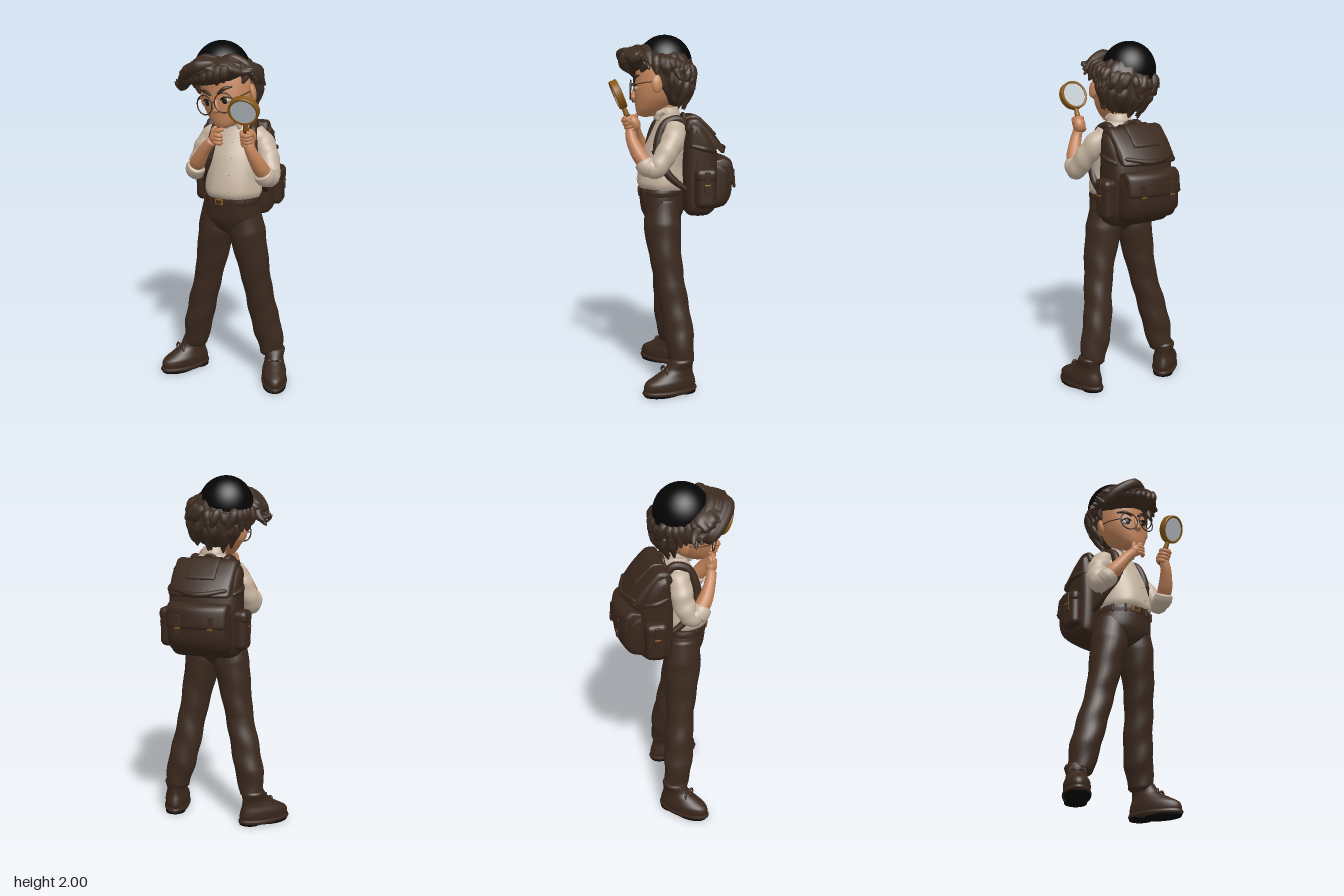
import * as THREE from 'three';
import { mergeVertices, toCreasedNormals } from 'three/addons/utils/BufferGeometryUtils.js';
import { RoundedBoxGeometry } from 'three/addons/geometries/RoundedBoxGeometry.js';

const paint = (name, color, side = THREE.FrontSide) => Object.assign(new THREE.MeshStandardMaterial({ color, side }), { name });
const M = {
  skin: paint('skin', 0xc08259), hair: paint('hair', 0x3c2b20), cloth: paint('trouserBrown', 0x3b291e),
  leather: paint('leather', 0x39271c), shirt: paint('shirt', 0xc4b29f), hat: paint('hatBlack', 0x040404),
  brass: paint('brass', 0x875818, THREE.DoubleSide), lens: paint('lens', 0xc2cad0),
  white: paint('eyeWhite', 0xb8a898), dark: paint('darkBrown', 0x20150f),
};
const V = (p) => new THREE.Vector3(...p);

function add(parent, name, geo, mat, pos = [0, 0, 0], rot = [0, 0, 0], scale = [1, 1, 1]) {
  const m = new THREE.Mesh(geo, mat);
  m.name = name;
  m.position.set(...pos); m.rotation.set(...rot); m.scale.set(...scale);
  parent.add(m);
  return m;
}
function group(parent, name, pos, rot = [0, 0, 0], order = 'XYZ') {
  const g = new THREE.Group();
  g.name = name;
  g.position.set(...pos); g.rotation.set(...rot, order);
  parent.add(g);
  return g;
}
function smooth(geo) {
  geo.deleteAttribute('uv'); geo.deleteAttribute('normal');
  const g = mergeVertices(geo, 1e-5);
  g.computeVertexNormals();
  return g;
}
// Upright skin through oval rings [x, y, z, radiusX, radiusZ]
function loft(rings, fold = () => 1, seg = 40, steps = 36) {
  const mid = new THREE.CatmullRomCurve3(rings.map((r) => V(r)), false, 'catmullrom', 0.4);
  const rad = new THREE.CatmullRomCurve3(rings.map((r) => new THREE.Vector3(r[3], 0, r[4])), false, 'catmullrom', 0.4);
  const pos = [], idx = [];
  for (let j = 0; j <= steps; j++) {
    const c = mid.getPoint(j / steps), r = rad.getPoint(j / steps);
    for (let i = 0; i < seg; i++) {
      const a = (i / seg) * Math.PI * 2, f = fold(a, j / steps);
      pos.push(c.x + Math.cos(a) * r.x * f, c.y, c.z + Math.sin(a) * r.z * f);
    }
  }
  const low = pos.length / 3, first = rings[0], last = rings[rings.length - 1];
  pos.push(...first.slice(0, 3), ...last.slice(0, 3));
  for (let i = 0; i < seg; i++) {
    const n = (i + 1) % seg, top = steps * seg;
    for (let j = 0; j < steps; j++) {
      const a = j * seg + i, c = j * seg + n;
      idx.push(a, a + seg, c, a + seg, c + seg, c);
    }
    idx.push(low, i, n, low + 1, top + n, top + i);
  }
  const g = new THREE.BufferGeometry();
  g.setAttribute('position', new THREE.Float32BufferAttribute(pos, 3));
  g.setIndex(idx);
  g.computeVertexNormals();
  return g;
}
// Round-ended tube through points [x, y, z, radius]
function limb(pts, { end = 0.1, fold = () => 1, steps = 32, seg = 16 } = {}) {
  const curve = new THREE.CatmullRomCurve3(pts.map((p) => V(p)));
  const g = new THREE.TubeGeometry(curve, steps, 1, seg), p = g.attributes.position, v = new THREE.Vector3();
  for (let i = 0; i <= steps; i++) {
    const u = i / steps, c = curve.getPointAt(u), f = u * (pts.length - 1), k = Math.min(Math.floor(f), pts.length - 2);
    const e = Math.max(0, (Math.abs(2 * u - 1) - 1 + end) / end);
    const r = THREE.MathUtils.lerp(pts[k][3], pts[k + 1][3], f - k) * Math.sqrt(Math.max(0.0004, 1 - e * e));
    for (let j = 0; j <= seg; j++) {
      const n = i * (seg + 1) + j;
      v.fromBufferAttribute(p, n).sub(c).multiplyScalar(r * fold((j % seg) / seg * Math.PI * 2, u)).add(c);
      p.setXYZ(n, v.x, v.y, v.z);
    }
  }
  return smooth(g);
}
// Side profile [depth, y] pulled across the width, with soft edges and a bowed back
function slab(profile, width, bevel) {
  const curve = new THREE.CatmullRomCurve3(profile.map(([d, y]) => new THREE.Vector3(d, y, 0)), true, 'catmullrom', 0.35);
  const g = new THREE.ExtrudeGeometry(new THREE.Shape(curve.getPoints(48).slice(0, -1)), {
    depth: width - 2 * bevel, steps: 10, bevelSize: bevel, bevelThickness: bevel, bevelOffset: -bevel, bevelSegments: 5,
  });
  g.translate(0, 0, bevel - width / 2).rotateY(Math.PI / 2);
  const p = g.attributes.position;
  for (let i = 0; i < p.count; i++) p.setZ(i, p.getZ(i) * (1 - 3.2 * p.getX(i) ** 2));
  return toCreasedNormals(g, 0.9);
}
// Ball with tousled ridges
function tousled(rx, ry, rz, amount) {
  const g = new THREE.SphereGeometry(1, 64, 40), p = g.attributes.position;
  for (let i = 0; i < p.count; i++) {
    const x = p.getX(i), y = p.getY(i), z = p.getZ(i), a = Math.atan2(z, x), flat = Math.hypot(x, z);
    const s = 1 + amount * flat * (Math.sin(9 * a + 5 * y) + 0.6 * Math.sin(17 * a - 9 * y));
    p.setXYZ(i, x * s * rx, y * s * ry, z * s * rz);
  }
  return smooth(g);
}
const ball = (r) => new THREE.SphereGeometry(r, 24, 16);
// Repeatable scatter in -1..1
const scatter = (k) => { const s = Math.sin(k * 127.1 + 3.7) * 43758.5; return 2 * (s - Math.floor(s)) - 1; };

function buildLegs(root) {
  const fold = (a, u) => 1 + 0.035 * Math.sin(u * 34 + Math.sin(a) * 2.5) * (0.2 + u) + 0.02 * Math.sin(3 * a + u * 9);
  add(root, 'trouserSeat', loft([[0.02, 0.92, 0.075, 0.05, 0.05], [0.02, 0.96, 0.078, 0.125, 0.095], [0.022, 1.02, 0.08, 0.17, 0.122],
    [0.028, 1.09, 0.082, 0.165, 0.129], [0.033, 1.15, 0.085, 0.152, 0.13]]), M.cloth);
  add(root, 'leftTrouserLeg', limb([[0.098, 1.1, 0.075, 0.09], [0.115, 0.95, 0.07, 0.106], [0.145, 0.78, 0.052, 0.092], [0.166, 0.6, 0.02, 0.082],
    [0.186, 0.4, -0.02, 0.082], [0.212, 0.26, -0.042, 0.084], [0.225, 0.15, -0.052, 0.066]], { end: 0.05, fold, steps: 80, seg: 28 }), M.cloth);
  add(root, 'rightTrouserLeg', limb([[-0.05, 1.1, 0.085, 0.09], [-0.07, 0.95, 0.086, 0.106], [-0.1, 0.78, 0.085, 0.092], [-0.137, 0.6, 0.08, 0.08],
    [-0.19, 0.4, 0.075, 0.082], [-0.222, 0.26, 0.07, 0.083], [-0.242, 0.15, 0.06, 0.066]], { end: 0.05, fold, steps: 80, seg: 28 }), M.cloth);
  add(root, 'belt', loft([[0.031, 1.108, 0.084, 0.162, 0.131], [0.032, 1.13, 0.084, 0.163, 0.134], [0.033, 1.15, 0.085, 0.157, 0.132]]), M.leather);
  add(root, 'beltBuckle', new RoundedBoxGeometry(0.05, 0.034, 0.01, 3, 0.004), M.brass, [0.025, 1.132, 0.217]);
  add(root, 'beltBuckleCentre', new RoundedBoxGeometry(0.034, 0.02, 0.008, 2, 0.003), M.leather, [0.025, 1.132, 0.2195]);
  for (const s of [-1, 1]) {
    for (const x of [0.07, 0.13]) add(root, 'beltLoop', new RoundedBoxGeometry(0.014, 0.05, 0.012, 2, 0.004), M.cloth, [0.032 + s * x, 1.128, 0.085 + 0.133 * Math.sqrt(1 - (x / 0.163) ** 2)]);
  }
  // Shoes
  for (const [name, pos, yaw] of [['leftShoe', [0.276, 0, 0.012], 0.52], ['rightShoe', [-0.286, 0, 0.115], -0.47]]) {
    const f = group(root, name, pos, [0, yaw, 0]);
    add(f, 'upper', loft([[0, 0.02, 0, 0.066, 0.15], [0, 0.05, 0, 0.071, 0.156], [0, 0.08, -0.004, 0.07, 0.146], [0, 0.112, -0.028, 0.06, 0.112],
      [0, 0.145, -0.055, 0.055, 0.082], [0, 0.185, -0.07, 0.064, 0.07], [0, 0.2, -0.07, 0.056, 0.062]]), M.leather);
    add(f, 'welt', loft([[0, 0.006, 0, 0.07, 0.156], [0, 0.02, 0, 0.076, 0.164], [0, 0.034, 0, 0.072, 0.159]], undefined, 40, 8), M.leather);
    add(f, 'frontSole', loft([[0, 0, 0.04, 0.068, 0.112], [0, 0.01, 0.04, 0.07, 0.115]], undefined, 32, 2), M.hat);
    add(f, 'heel', loft([[0, 0, -0.09, 0.058, 0.065], [0, 0.01, -0.09, 0.06, 0.066]], undefined, 32, 2), M.hat);
    for (let k = 0; k < 3; k++) {
      const y = 0.112 + k * 0.018, z = 0.075 - k * 0.026;
      add(f, 'lace', limb([[-0.036, y - 0.016, z - 0.008, 0.005], [0, y, z, 0.006], [0.036, y - 0.016, z - 0.008, 0.005]], { steps: 12, seg: 8 }), M.leather);
    }
    for (const s of [-1, 1]) add(f, 'laceBow', limb([[0, 0.14, 0.022, 0.006], [s * 0.032, 0.155, 0.03, 0.007], [s * 0.045, 0.125, 0.035, 0.005]], { steps: 12, seg: 8 }), M.leather);
  }
}

function buildTorso(body) {
  const fold = (a, u) => 1 + 0.018 * Math.sin(6 * a + u * 7) * (1 - u);
  add(body, 'shirt', loft([[0, 1.135, 0.035, 0.143, 0.118], [0, 1.18, 0.038, 0.16, 0.138], [0, 1.27, 0.033, 0.15, 0.128], [0, 1.38, 0.013, 0.148, 0.113],
    [0, 1.47, -0.008, 0.143, 0.092], [0, 1.53, -0.013, 0.11, 0.07], [0, 1.565, -0.008, 0.062, 0.055]], fold), M.shirt);
  for (const [y, z] of [[1.2, 0.175], [1.29, 0.16], [1.38, 0.127], [1.46, 0.09]]) add(body, 'shirtButton', ball(0.005), M.shirt, [0.005, y, z]);
  add(body, 'collarBand', loft([[0, 1.54, -0.008, 0.07, 0.064], [0, 1.57, -0.004, 0.068, 0.064], [0, 1.6, 0.002, 0.059, 0.058]], undefined, 32, 10), M.shirt);
  for (const s of [-1, 1]) {
    add(body, 'collarPoint', limb([[s * 0.055, 1.58, 0.02, 0.014], [s * 0.035, 1.565, 0.053, 0.022], [s * 0.04, 1.525, 0.066, 0.008]], { steps: 16 }), M.shirt);
    add(body, 'shoulderStrap', limb([[s * 0.1, 1.46, -0.1, 0.02], [s * 0.1, 1.535, -0.05, 0.024], [s * 0.105, 1.52, 0.025, 0.025], [s * 0.115, 1.45, 0.066, 0.026],
      [s * 0.13, 1.34, 0.078, 0.026], [s * 0.155, 1.23, 0.02, 0.02], [s * 0.16, 1.14, -0.09, 0.014]], { end: 0.05, steps: 48 }), M.leather);
    add(body, 'strapBuckle', new RoundedBoxGeometry(0.04, 0.02, 0.012, 2, 0.004), M.leather, [s * 0.128, 1.36, 0.1], [0.2, s * 0.3, 0]);
  }
}

function buildBackpack(body) {
  const b = group(body, 'backpack', [-0.01, 0, 0]);
  add(b, 'mainBag', slab([[0.08, 1.03], [0.14, 0.998], [0.225, 1.005], [0.28, 1.07], [0.288, 1.26], [0.255, 1.42], [0.18, 1.51], [0.1, 1.515], [0.07, 1.3]], 0.41, 0.06), M.leather);
  add(b, 'topFlap', slab([[0.075, 1.49], [0.1, 1.54], [0.165, 1.54], [0.25, 1.46], [0.32, 1.365], [0.302, 1.35], [0.24, 1.4], [0.1, 1.46]], 0.36, 0.022), M.leather);
  add(b, 'flapRidge', limb([[-0.165, 1.39, -0.275, 0.013], [0, 1.365, -0.32, 0.016], [0.165, 1.39, -0.275, 0.013]]), M.leather);
  add(b, 'backPocket', slab([[0.22, 1.05], [0.32, 1.05], [0.362, 1.12], [0.362, 1.25], [0.31, 1.3], [0.22, 1.3]], 0.36, 0.045), M.leather);
  add(b, 'backPocketFlap', slab([[0.24, 1.27], [0.255, 1.305], [0.32, 1.32], [0.365, 1.29], [0.377, 1.2], [0.365, 1.185], [0.335, 1.24]], 0.35, 0.016), M.leather);
  add(b, 'flapPanel', slab([[0.08, 1.53], [0.11, 1.553], [0.17, 1.55], [0.265, 1.457], [0.255, 1.445], [0.16, 1.52]], 0.17, 0.006), M.leather);
  add(b, 'carryHandle', new THREE.TorusGeometry(0.04, 0.01, 10, 24, Math.PI), M.leather, [0, 1.52, -0.09]);
  for (const s of [-1, 1]) {
    add(b, 'pocketStrap', new RoundedBoxGeometry(0.032, 0.11, 0.012, 2, 0.004), M.leather, [s * 0.095, 1.2, -0.364], [0.08, 0, 0]);
    add(b, 'pocketBuckle', new RoundedBoxGeometry(0.034, 0.008, 0.009, 2, 0.003), M.brass, [s * 0.095, 1.185, -0.369]);
    add(b, 'sidePocket', new RoundedBoxGeometry(0.085, 0.2, 0.12, 5, 0.035), M.leather, [s * 0.214, 1.15, -0.175]);
    add(b, 'sidePocketFlap', new RoundedBoxGeometry(0.09, 0.075, 0.125, 4, 0.03), M.leather, [s * 0.215, 1.235, -0.175]);
    add(b, 'sidePocketStrap', new RoundedBoxGeometry(0.012, 0.12, 0.03, 2, 0.004), M.leather, [s * 0.259, 1.2, -0.175]);
    add(b, 'sidePocketBuckle', new RoundedBoxGeometry(0.01, 0.009, 0.034, 2, 0.003), M.brass, [s * 0.263, 1.185, -0.175]);
    add(b, 'compressionStrap', limb([[s * 0.19, 1.4, -0.09, 0.012], [s * 0.208, 1.38, -0.17, 0.016], [s * 0.18, 1.36, -0.24, 0.012]], { steps: 16 }), M.leather);
  }
}

function buildArms(root) {
  const fold = (a, u) => 1 + 0.045 * Math.sin(u * 24 + 2 * Math.sin(a));
  add(root, 'leftSleeve', limb([[0.115, 1.495, 0.0, 0.06], [0.18, 1.44, 0.0, 0.064], [0.246, 1.34, 0.045, 0.061], [0.27, 1.28, 0.09, 0.057], [0.269, 1.305, 0.14, 0.05]], { fold, steps: 48, seg: 24 }), M.shirt);
  add(root, 'leftCuff', limb([[0.274, 1.273, 0.105, 0.05], [0.27, 1.295, 0.14, 0.057], [0.264, 1.325, 0.163, 0.05]], { end: 0.35 }), M.shirt);
  add(root, 'leftForearm', limb([[0.274, 1.29, 0.13, 0.043], [0.26, 1.355, 0.18, 0.043], [0.235, 1.44, 0.225, 0.034], [0.215, 1.5, 0.235, 0.027]]), M.skin);
  add(root, 'rightSleeve', limb([[-0.075, 1.495, 0.055, 0.06], [-0.128, 1.43, 0.075, 0.065], [-0.163, 1.34, 0.1, 0.062], [-0.17, 1.275, 0.14, 0.057], [-0.145, 1.3, 0.18, 0.05]], { fold, steps: 48, seg: 24 }), M.shirt);
  add(root, 'rightCuff', limb([[-0.17, 1.27, 0.16, 0.05], [-0.147, 1.295, 0.185, 0.057], [-0.124, 1.325, 0.202, 0.05]], { end: 0.35 }), M.shirt);
  add(root, 'rightForearm', limb([[-0.165, 1.285, 0.17, 0.043], [-0.11, 1.35, 0.21, 0.043], [-0.05, 1.43, 0.235, 0.033], [0, 1.485, 0.24, 0.027]]), M.skin);
  // Hand at the chin
  const h = group(root, 'rightHand', [0.015, 1.5, 0.235]);
  add(h, 'palm', ball(0.033), M.skin, [0, 0, 0], [0, 0, -0.6], [1, 1.15, 0.85]);
  for (let k = 0; k < 3; k++) add(h, 'curledFinger', limb([[0.0, 0.02 - k * 0.02, 0.022, 0.012], [0.035, 0.016 - k * 0.02, 0.02, 0.013], [0.042, 0.01 - k * 0.019, -0.002, 0.011]], { end: 0.4, steps: 16, seg: 10 }), M.skin);
  add(h, 'indexFinger', limb([[0.0, 0.02, 0.012, 0.013], [0.025, 0.042, 0.012, 0.013], [0.055, 0.052, -0.002, 0.01]], { end: 0.35, steps: 16, seg: 10 }), M.skin);
  add(h, 'thumb', limb([[-0.015, 0.01, 0, 0.014], [-0.012, 0.04, 0, 0.013], [0.004, 0.058, -0.01, 0.01]], { end: 0.35, steps: 16, seg: 10 }), M.skin);
  // Magnifying glass and the hand around its handle
  const g = group(root, 'magnifyingGlass', [0.229, 1.68, 0.299], [0.4, 0.27, 0], 'YXZ');
  const rim = [[0.069, -0.019], [0.078, -0.021], [0.083, -0.016], [0.081, 0], [0.083, 0.016], [0.078, 0.021], [0.069, 0.019], [0.069, -0.019]].map((p) => new THREE.Vector2(...p));
  add(g, 'rim', toCreasedNormals(new THREE.LatheGeometry(rim, 48), 0.6), M.brass, [0, 0, 0], [Math.PI / 2, 0, 0]);
  add(g, 'lens', new THREE.CylinderGeometry(0.07, 0.07, 0.028, 40), M.lens, [0, 0, 0], [Math.PI / 2, 0, 0]);
  add(g, 'handleNeck', new THREE.CylinderGeometry(0.012, 0.016, 0.045, 16), M.brass, [0, -0.1, 0]);
  add(g, 'handle', limb([[0, -0.11, 0, 0.015], [0, -0.17, 0, 0.017], [0, -0.225, 0, 0.016]], { steps: 16 }), M.leather);
  add(g, 'leftPalm', ball(0.036), M.skin, [0.012, -0.178, -0.018], [0, 0, 0], [1, 1.3, 0.9]);
  for (let k = 0; k < 4; k++) add(g, 'grippingFinger', new THREE.TorusGeometry(0.025, 0.0135, 10, 20), M.skin, [0.002, -0.142 - k * 0.021, 0.004], [Math.PI / 2, 0, 0]);
  add(g, 'leftThumb', limb([[0.03, -0.17, -0.01, 0.014], [0.025, -0.14, 0.012, 0.013], [0.005, -0.122, 0.022, 0.01]], { end: 0.35, steps: 16, seg: 10 }), M.skin);
}

function buildHead(root) {
  add(root, 'neck', limb([[0.03, 1.5, 0.04, 0.052], [0.032, 1.57, 0.055, 0.052], [0.03, 1.66, 0.08, 0.055]]), M.skin);
  const h = group(root, 'head', [0.012, 1.72, 0.09], [0, 0, 0.2]);
  add(h, 'face', loft([[0, -0.178, 0.085, 0.015, 0.015], [0, -0.168, 0.078, 0.05, 0.05], [0, -0.14, 0.055, 0.084, 0.084], [0, -0.095, 0.03, 0.118, 0.114], [0, -0.04, 0.014, 0.139, 0.134],
    [0, 0.03, 0, 0.147, 0.145], [0, 0.1, 0, 0.137, 0.14], [0, 0.17, 0, 0.09, 0.09], [0, 0.2, 0, 0.02, 0.02]]), M.skin);
  add(h, 'nose', ball(0.022), M.skin, [0, -0.07, 0.152], [0, 0, 0], [0.95, 0.85, 1]);
  add(h, 'noseBridge', limb([[0, -0.01, 0.14, 0.01], [0, -0.04, 0.15, 0.014], [0, -0.068, 0.158, 0.016]], { steps: 12 }), M.skin);
  add(h, 'mouth', limb([[-0.03, -0.118, 0.129, 0.002], [0.002, -0.114, 0.138, 0.003], [0.034, -0.109, 0.129, 0.002]], { steps: 12, seg: 8 }), M.dark);
  for (const s of [-1, 1]) {
    add(h, 'ear', ball(0.045), M.skin, [s * 0.154, -0.015, 0.002], [0, s * 0.4, 0], [0.4, 1.1, 0.72]);
    add(h, 'eye', ball(0.028), M.white, [s * 0.058, -0.028, 0.13], [0, s * 0.3, 0], [1, 0.62, 0.5]);
    add(h, 'iris', ball(0.016), M.dark, [s * 0.056, -0.027, 0.141], [0, s * 0.25, 0], [1, 1.05, 0.3]);
    add(h, 'upperLid', limb([[s * 0.028, -0.022, 0.143, 0.004], [s * 0.058, -0.008, 0.144, 0.005], [s * 0.09, -0.018, 0.123, 0.004]], { steps: 12, seg: 8 }), M.dark);
    add(h, 'eyebrow', limb([[s * 0.018, 0.01, 0.147, 0.008], [s * 0.06, 0.036, 0.138, 0.01], [s * 0.1, 0.04, 0.108, 0.005]], { steps: 16, seg: 10 }), M.hair);
    add(h, 'spectacleRim', new THREE.TorusGeometry(0.053, 0.0035, 10, 40), M.hair, [s * 0.061, -0.035, 0.163], [0, s * 0.18, 0]);
    add(h, 'spectacleArm', limb([[s * 0.112, -0.02, 0.152, 0.003], [s * 0.15, -0.01, 0.08, 0.003], [s * 0.156, 0.0, 0, 0.003]], { seg: 8 }), M.hair);
  }
  add(h, 'spectacleBridge', limb([[-0.013, -0.03, 0.17, 0.003], [0, -0.025, 0.174, 0.003], [0.013, -0.03, 0.17, 0.003]], { steps: 8, seg: 8 }), M.hair);

  // Hair mass, fringe and loose locks
  add(h, 'backHair', tousled(0.165, 0.165, 0.13, 0.025), M.hair, [0, 0.045, -0.06]);
  add(h, 'frontHair', tousled(0.19, 0.075, 0.135, 0.03), M.hair, [-0.015, 0.135, 0.103], [-0.1, 0, 0]);
  for (let k = 0; k < 34; k++) {
    const a = (k / 34) * Math.PI * 2, back = Math.max(0, -Math.sin(a)), j = scatter(k), q = scatter(k + 50);
    if (Math.sin(a) > 0.45) continue;
    const at = (r, y, turn, w) => [Math.cos(a + turn) * r, y - back * 0.04, Math.sin(a + turn) * r * 0.9 - 0.016, w];
    const turn = 0.22 * q;
    add(h, 'hairLock', limb([at(0.125, 0.145, 0, 0.02), at(0.172 + 0.008 * j, 0.118 + 0.015 * q, turn * 0.3, 0.028), at(0.182 + 0.012 * q, 0.07 + 0.015 * j, turn, 0.027),
      at(0.188 + 0.016 * j, 0.03 + 0.02 * q, turn * 1.8, 0.006)], { steps: 20, seg: 10 }), M.hair);
    if (back > 0.25) add(h, 'napeLock', limb([at(0.165, 0.07, 0, 0.02), at(0.168 + 0.008 * q, 0.015, turn * 0.6, 0.027), at(0.14, -0.05 + 0.012 * j, turn, 0.02),
      at(0.125 + 0.012 * j, -0.085 + 0.018 * q, turn * 1.6, 0.005)], { steps: 16, seg: 10 }), M.hair);
  }
  for (let k = 0; k < 7; k++) {
    const t = k / 6, j = scatter(k + 7), w = 0.026 + 0.007 * scatter(k + 20);
    add(h, 'sweptLock', limb([[0.07, 0.18, 0.1 + 0.09 * t, 0.015], [-0.03, 0.195 - 0.02 * t, 0.14 + 0.09 * t, w + 0.006], [-0.13, 0.15 - 0.02 * t, 0.11 + 0.09 * t, w + 0.004],
      [-0.205, 0.095 - 0.02 * t, 0.06 + 0.08 * t, w + 0.003], [-0.25 + 0.012 * j, 0.09 + 0.035 * j, 0.06 + 0.08 * t, 0.008]], { steps: 28, seg: 12 }), M.hair);
    add(h, 'sideLock', limb([[0.03, 0.175, 0.1 + 0.08 * t, 0.018], [0.11, 0.18 - 0.03 * t, 0.08 + 0.1 * t, w], [0.172, 0.13 - 0.02 * t, 0.05 + 0.07 * t, w],
      [0.222 + 0.01 * j, 0.085 + 0.035 * j, 0.03 + 0.06 * t, 0.007]], { steps: 24, seg: 12 }), M.hair);
    add(h, 'fringeLock', limb([[0.13 - 0.22 * t, 0.16, 0.185, 0.022], [0.115 - 0.23 * t, 0.12, 0.215 - 0.03 * Math.abs(t - 0.5), 0.028], [0.09 - 0.25 * t, 0.075 + 0.015 * j, 0.18, 0.006]], { steps: 16, seg: 10 }), M.hair);
  }
  add(h, 'cap', new THREE.SphereGeometry(1, 48, 24, 0, Math.PI * 2, 0, Math.PI * 0.52), M.hat, [-0.024, 0.125, -0.014], [-0.16, 0, 0], [0.155, 0.162, 0.157]);
  add(h, 'capEdge', new THREE.TorusGeometry(0.154, 0.006, 10, 48), M.hat, [-0.024, 0.126, -0.014], [Math.PI / 2 - 0.16, 0, 0]);
}

export function createModel() {
  const root = new THREE.Group();
  root.name = 'youngExplorer';
  buildLegs(root);
  const body = group(root, 'upperBody', [0.03, 0, 0.05], [0, 0.3, 0]);
  buildTorso(body);
  buildBackpack(body);
  buildArms(root);
  buildHead(root);
  return root;
}
